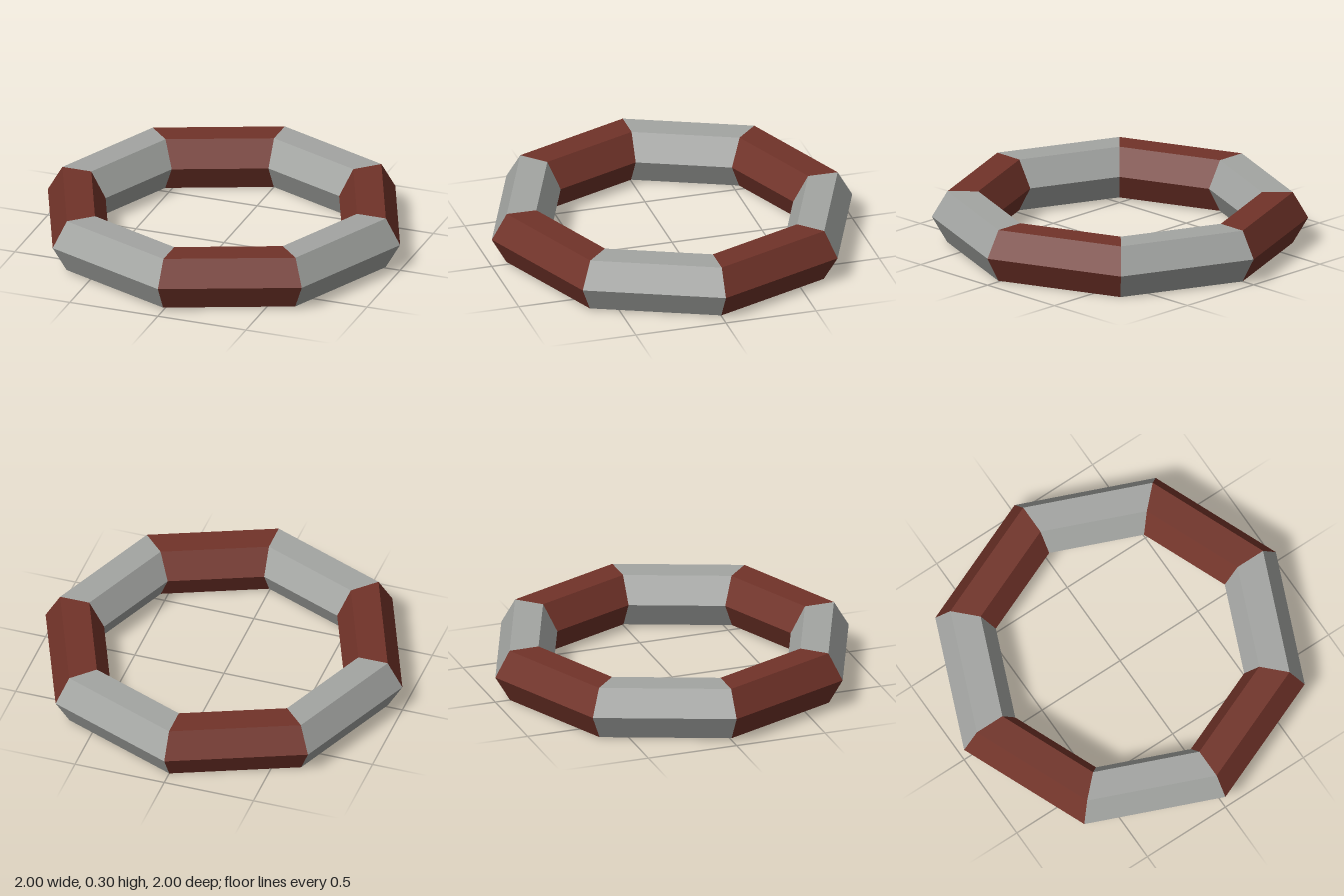
import * as THREE from 'three';

export function createModel() {
  const model = new THREE.Group();
  const grey = new THREE.MeshStandardMaterial({ color: 0xa3a5a2, flatShading: true });
  grey.name = 'pale grey';
  const red = new THREE.MeshStandardMaterial({ color: 0x713329, flatShading: true });
  red.name = 'dark red';

  // One straight hexagonal segment, an eighth of the ring laid flat
  const segment = new THREE.TorusGeometry(0.836, 0.164, 6, 1, Math.PI / 4);
  segment.rotateX(Math.PI / 2);

  // Eight segments in alternating colours
  const ring = new THREE.Group();
  ring.name = 'ring';
  for (let i = 0; i < 8; i++) {
    const mesh = new THREE.Mesh(segment, i % 2 ? red : grey);
    mesh.name = 'ringSegment' + (i + 1);
    mesh.rotation.y = -i * Math.PI / 4;
    ring.add(mesh);
  }

  // The ring lies with a very slight tilt
  ring.rotation.set(-0.0085, 0, -0.0025);
  ring.position.y = 0.151;
  model.add(ring);
  return model;
}
